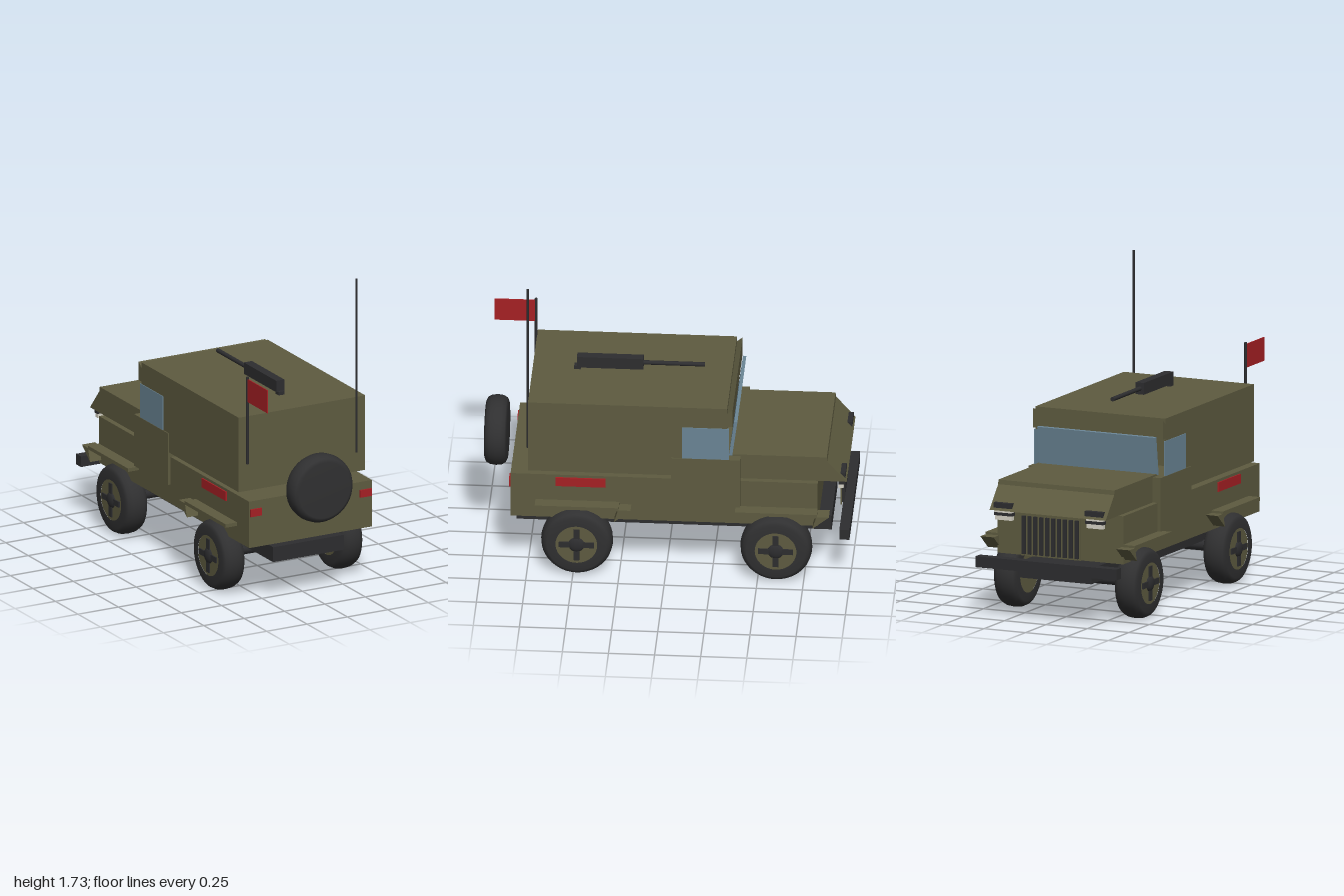
import * as THREE from 'three';

const mat = (name, color, extra = {}) => {
  const m = new THREE.MeshStandardMaterial({ color, ...extra });
  m.name = name;
  return m;
};

export function createModel() {
  const olive = mat('olive paint', 0x5e5b40);
  const metal = mat('dark metal', 0x2d2d2f);
  const rubber = mat('tyre rubber', 0x303031);
  const red = mat('red', 0xa62024, { side: THREE.DoubleSide });
  const glass = mat('window glass', 0x6a8595);
  const lens = mat('lamp lens', 0xd6d3c6);
  const root = new THREE.Group();
  root.name = 'militaryTruck';

  const add = (name, geo, material, parent = root) => {
    const m = new THREE.Mesh(geo, material);
    m.name = name;
    parent.add(m);
    return m;
  };
  // box given by its limits on each axis
  const box = (name, material, [x0, x1], [y0, y1], [z0, z1], parent = root) => {
    const m = add(name, new THREE.BoxGeometry(x1 - x0, y1 - y0, z1 - z0), material, parent);
    m.position.set((x0 + x1) / 2, (y0 + y1) / 2, (z0 + z1) / 2);
    return m;
  };
  // side profile of [z, y] points, swept across x0..x1
  const sweep = (name, material, pts, x0, x1) => {
    const shape = new THREE.Shape(pts.map(p => new THREE.Vector2(...p)));
    const g = new THREE.ExtrudeGeometry(shape, { depth: x1 - x0, bevelEnabled: false });
    g.rotateY(-Math.PI / 2).translate(x1, 0, 0);
    return add(name, g, material);
  };
  const rod = (name, r, y0, y1, x, z) => {
    const m = add(name, new THREE.CylinderGeometry(r, r, y1 - y0, 10), metal);
    m.position.set(x, (y0 + y1) / 2, z);
  };

  // Body
  box('lowerBody', olive, [-0.38, 0.38], [0.337, 0.602], [-0.825, 0.84]);
  box('doorSection', olive, [-0.398, 0.398], [0.445, 0.74], [-0.405, -0.03]);
  sweep('hood', olive, [[-0.345, 0.602], [-0.345, 0.75], [-0.872, 0.75], [-0.875, 0.725],
    [-0.98, 0.602]], -0.35, 0.35);
  sweep('cab', olive, [[0.745, 0.63], [0.745, 1.055], [-0.335, 1.055], [-0.335, 0.93],
    [-0.09, 0.93], [-0.09, 0.74], [-0.03, 0.74], [-0.03, 0.63]], -0.392, 0.392);
  sweep('visor', olive, [[-0.335, 0.945], [-0.335, 1.025], [-0.365, 1.05], [-0.365, 0.945]],
    -0.392, 0.392);
  sweep('windshield', glass, [[-0.342, 0.745], [-0.37, 0.957], [-0.388, 0.955], [-0.36, 0.745]],
    -0.355, 0.355);

  // Chassis and front bumper
  box('chassis', metal, [-0.22, 0.22], [0.225, 0.31], [-0.89, 0.82]);
  box('bumper', metal, [-0.425, 0.425], [0.283, 0.343], [-1, -0.945]);

  // Grille
  box('grillePanel', olive, [-0.18, 0.18], [0.36, 0.602], [-0.942, -0.934]);
  for (let i = 0; i < 10; i++) {
    const x = -0.16 + i * 0.32 / 9;
    box('grilleBar', metal, [x - 0.01, x + 0.01], [0.37, 0.58], [-0.955, -0.942]);
  }

  // Parts mirrored on both sides
  for (const s of [1, -1]) {
    const span = (a, b) => (s > 0 ? [a, b] : [-b, -a]);
    box('sideWindow', glass, span(0.388, 0.396), [0.74, 0.932], [-0.345, -0.09]);
    box('sideReflector', red, span(0.38, 0.388), [0.535, 0.587], [0.325, 0.595]);
    box('tailLight', red, span(0.305, 0.375), [0.515, 0.557], [0.84, 0.85]);
    box('headlightTop', metal, span(0.22, 0.33), [0.615, 0.643], [-0.972, -0.935]);
    box('headlightLensUpper', lens, span(0.225, 0.325), [0.59, 0.615], [-0.968, -0.935]);
    box('headlightDivider', metal, span(0.22, 0.33), [0.573, 0.59], [-0.968, -0.935]);
    box('headlightLensLower', lens, span(0.225, 0.325), [0.548, 0.573], [-0.962, -0.935]);

    // Fenders with a turned-down leading flap
    for (const [back, crease] of [[0.705, 0.25], [-0.38, -0.825]]) {
      sweep('fender', olive, [[back, 0.445], [crease, 0.445], [crease, 0.432],
        [crease - 0.065, 0.432], [crease + 0.025, 0.358], [crease + 0.005, 0.425],
        [back, 0.425]], ...span(0.37, 0.45));
    }
  }

  // Tyre profile: [radius, height along the axle]
  const tyreGeometry = (r, w, hub) => {
    const p = [[hub, -0.5], [0.82, -0.5], [0.92, -0.42], [0.98, -0.25], [1, 0],
      [0.98, 0.25], [0.92, 0.42], [0.82, 0.5], [hub, 0.5]];
    return new THREE.LatheGeometry(p.map(([a, b]) => new THREE.Vector2(a * r, b * w)), 40);
  };

  // Wheels, built along y then turned onto the axle
  for (const z of [0.48, -0.6]) {
    const axle = add('axle', new THREE.CylinderGeometry(0.03, 0.03, 0.62, 12), metal);
    axle.rotation.z = Math.PI / 2;
    axle.position.set(0, 0.2, z);
    for (const s of [1, -1]) {
      const wheel = new THREE.Group();
      wheel.name = 'wheel';
      wheel.position.set(s * 0.365, 0.198, z);
      wheel.rotation.z = -s * Math.PI / 2;
      root.add(wheel);
      add('tyre', tyreGeometry(0.195, 0.135, 0.58), rubber, wheel);
      add('rim', new THREE.CylinderGeometry(0.115, 0.115, 0.13, 32), olive, wheel);
      box('spoke', metal, [-0.095, 0.095], [0.06, 0.072], [-0.016, 0.016], wheel);
      box('spoke', metal, [-0.016, 0.016], [0.06, 0.073], [-0.095, 0.095], wheel);
      const cap = add('hubCap', new THREE.SphereGeometry(0.045, 20, 12), metal, wheel);
      cap.position.y = 0.063;
      cap.scale.y = 0.4;
    }
  }

  // Spare wheel on the tail
  const spare = add('spareWheel', tyreGeometry(0.192, 0.122, 0), rubber);
  spare.rotation.x = Math.PI / 2;
  spare.position.set(0, 0.65, 0.939);

  // Roof gun
  box('gunMount', metal, [-0.018, 0.018], [1.05, 1.075], [0.485, 0.52]);
  box('gunBody', metal, [-0.025, 0.025], [1.07, 1.135], [0.145, 0.505]);
  const barrel = add('gunBarrel', new THREE.CylinderGeometry(0.012, 0.012, 0.34, 12), metal);
  barrel.rotation.x = Math.PI / 2;
  barrel.position.set(0, 1.102, -0.018);

  // Antenna and flag
  rod('antenna', 0.006, 0.74, 1.73, 0.335, 0.75);
  rod('flagPole', 0.008, 0.785, 1.28, -0.34, 0.75);
  box('flag', red, [-0.343, -0.337], [1.14, 1.27], [0.75, 0.975]);

  return root;
}
